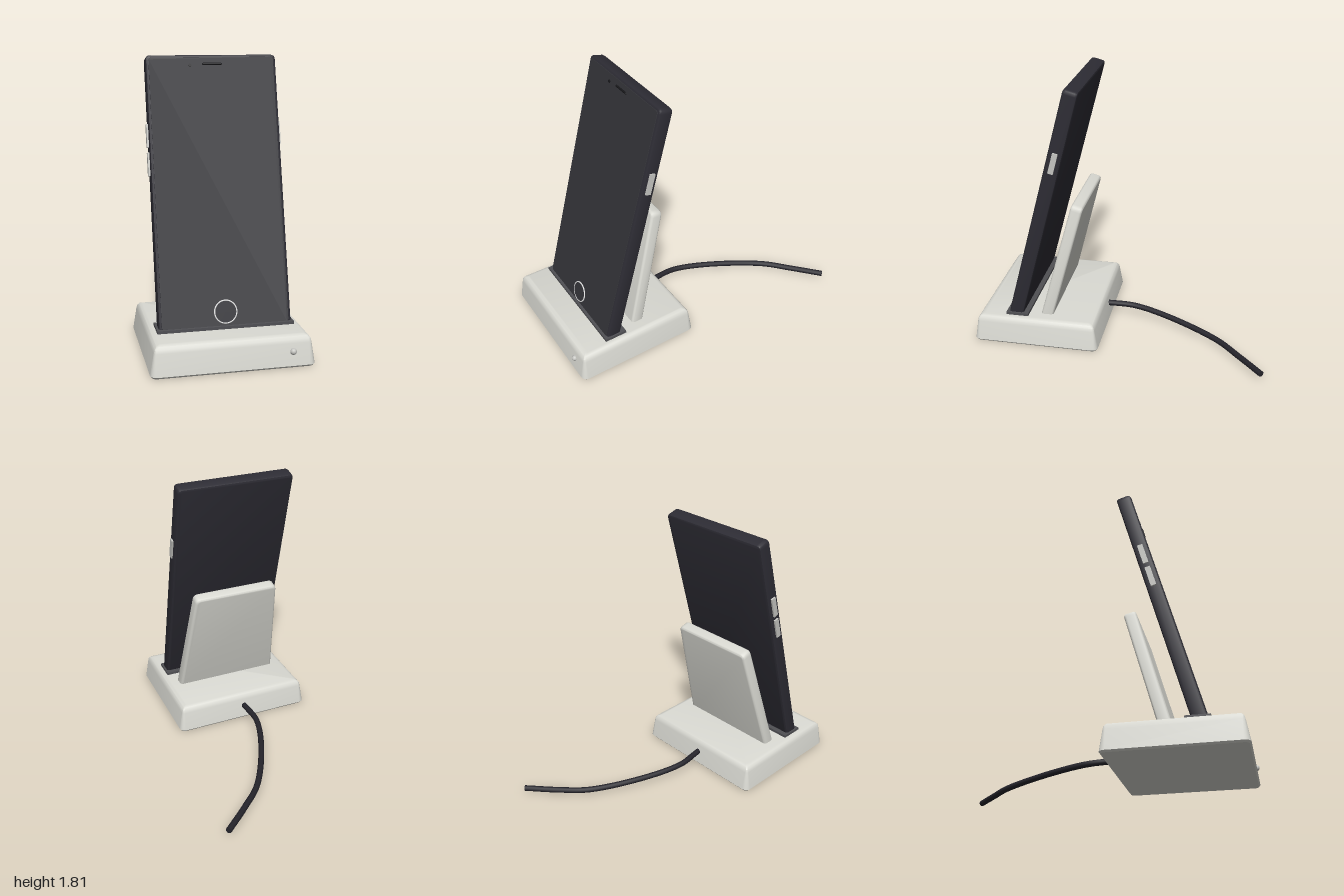
import * as THREE from 'three';
import { toCreasedNormals } from 'three/addons/utils/BufferGeometryUtils.js';

const CENTER_X = -0.057;
const TILT = -Math.PI / 12;

function material(name, color) {
  const m = new THREE.MeshStandardMaterial({ color });
  m.name = name;
  return m;
}

function add(parent, name, geometry, mat, x = 0, y = 0, z = 0) {
  const mesh = new THREE.Mesh(geometry, mat);
  mesh.name = name;
  mesh.position.set(x, y, z);
  parent.add(mesh);
  return mesh;
}

// Four-sided outline with rounded corners; y runs from y0 to y1, widths may differ
function roundedShape(bottomWidth, topWidth, y0, y1, r) {
  const b = bottomWidth / 2, t = topWidth / 2;
  const corners = [[-b, y0], [b, y0], [t, y1], [-t, y1]].map(p => new THREE.Vector2(...p));
  const shape = new THREE.Shape();
  corners.forEach((c, i) => {
    const toward = p => c.clone().add(p.clone().sub(c).setLength(r));
    const start = toward(corners[(i + 3) % 4]);
    const end = toward(corners[(i + 1) % 4]);
    if (i === 0) shape.moveTo(start.x, start.y);
    else shape.lineTo(start.x, start.y);
    shape.quadraticCurveTo(c.x, c.y, end.x, end.y);
  });
  shape.closePath();
  return shape;
}

// Bevelled slab centred on z = 0
function slab(shape, thickness, bevel, segments) {
  const geometry = new THREE.ExtrudeGeometry(shape, {
    depth: thickness - 2 * bevel, bevelThickness: bevel, bevelSize: bevel,
    bevelOffset: -bevel, bevelSegments: segments, curveSegments: 4,
  });
  geometry.translate(0, 0, bevel - thickness / 2);
  return toCreasedNormals(geometry, 0.6);
}

// Stack of rounded rectangles [y, inset], closed at both ends
function loftedBlock(width, depth, radius, sections) {
  const positions = [], indices = [], perCorner = 6, n = perCorner * 4;
  for (const [y, inset] of sections) {
    const cx = width / 2 - radius, cz = depth / 2 - radius;
    const r = Math.max(radius - inset, 0.012);
    const shrink = inset - (radius - r);
    for (let c = 0; c < 4; c++) {
      const sx = c === 0 || c === 3 ? 1 : -1, sz = c < 2 ? 1 : -1;
      for (let k = 0; k < perCorner; k++) {
        const a = (c + k / (perCorner - 1)) * Math.PI / 2;
        positions.push(sx * (cx - shrink) + r * Math.cos(a), y, sz * (cz - shrink) + r * Math.sin(a));
      }
    }
  }
  for (let s = 0; s < sections.length - 1; s++) {
    for (let i = 0; i < n; i++) {
      const a = s * n + i, b = s * n + (i + 1) % n;
      indices.push(a, a + n, b, b, a + n, b + n);
    }
  }
  const top = (sections.length - 1) * n;
  for (let i = 1; i < n - 1; i++) {
    indices.push(0, i, i + 1, top, top + i + 1, top + i);
  }
  const geometry = new THREE.BufferGeometry();
  geometry.setAttribute('position', new THREE.Float32BufferAttribute(positions, 3));
  geometry.setIndex(indices);
  return toCreasedNormals(geometry, 0.6);
}

export function createModel() {
  const model = new THREE.Group();
  model.name = 'phoneOnDock';

  const shell = material('dock off-white', 0xdadad3);
  const body = material('phone charcoal', 0x2d2c34);
  const glass = material('screen dark grey', 0x35353a);
  const black = material('sensor black', 0x17171a);
  const tray = material('slot grey', 0x505054);
  const metal = material('button silver', 0xc6c6c2);
  const ringWhite = material('ring pale grey', 0xe4e4e4);
  const rubber = material('cable black', 0x25242b);

  // Dock base with sloping sides and a soft upper edge
  add(model, 'dockBase', loftedBlock(0.995, 0.87, 0.04, [
    [0, 0.01], [0.012, 0], [0.145, 0.022], [0.168, 0.028], [0.183, 0.04], [0.19, 0.06],
  ]), shell, CENTER_X, 0, 0.558);

  // Status light on the front
  add(model, 'statusLight', new THREE.SphereGeometry(0.02, 20, 14), metal, 0.3, 0.098, 0.98);

  // Slot lining in which the phone stands
  add(model, 'slotLining', new THREE.BoxGeometry(0.85, 0.03, 0.155), tray, CENTER_X, 0.193, 0.698);

  // Tapered back support
  const support = add(model, 'backSupport',
    slab(roundedShape(0.755, 0.61, -0.04, 0.825, 0.035), 0.082, 0.018, 4),
    shell, CENTER_X, 0.19, 0.498);
  support.rotation.x = TILT;

  // Phone, leaning back
  const phone = new THREE.Group();
  phone.name = 'phone';
  phone.position.set(CENTER_X, 0.2, 0.707);
  phone.rotation.x = TILT;
  model.add(phone);
  const face = 0.048;

  add(phone, 'phoneBody', slab(roundedShape(0.825, 0.825, -0.03, 1.662, 0.03), face * 2, 0.016, 2), body);
  add(phone, 'screen', slab(roundedShape(0.79, 0.79, -0.01, 1.645, 0.02), 0.008, 0.001, 1),
    glass, 0, 0, face - 0.001);

  // Home button and its bright rim
  const home = add(phone, 'homeButton', new THREE.CylinderGeometry(0.068, 0.068, 0.009, 40),
    glass, 0, 0.077, face + 0.005);
  home.rotation.x = Math.PI / 2;
  add(phone, 'homeButtonRim', new THREE.TorusGeometry(0.069, 0.0045, 8, 48),
    ringWhite, 0, 0.077, face + 0.007);

  // Earpiece and sensor
  const earpiece = add(phone, 'earpiece', new THREE.CapsuleGeometry(0.008, 0.11, 4, 12),
    black, 0, 1.602, face + 0.002);
  earpiece.rotation.z = Math.PI / 2;
  const sensor = add(phone, 'frontSensor', new THREE.CylinderGeometry(0.01, 0.01, 0.008, 16),
    black, -0.14, 1.594, face + 0.003);
  sensor.rotation.x = Math.PI / 2;

  // Side buttons: two on the right, one on the left
  for (const [name, x, y] of [
    ['volumeUpButton', -0.413, 1.17],
    ['volumeDownButton', -0.413, 0.995],
    ['powerButton', 0.413, 1.17],
  ]) {
    add(phone, name, new THREE.BoxGeometry(0.022, 0.143, 0.036), metal, x, y, 0);
  }

  // Cable trailing from the back
  const path = new THREE.CatmullRomCurve3([
    [-0.06, 0.097, 0.16], [-0.066, 0.095, 0.1], [-0.075, 0.085, -0.05], [0.005, 0.067, -0.31],
    [0.2, 0.043, -0.67], [0.36, 0.038, -0.83], [0.535, 0.04, -0.985],
  ].map(p => new THREE.Vector3(...p)));
  add(model, 'cable', new THREE.TubeGeometry(path, 48, 0.02, 12), rubber);
  const cap = add(model, 'cableEnd', new THREE.CircleGeometry(0.02, 12), rubber, 0.535, 0.04, -0.985);
  cap.lookAt(path.getPoint(1).add(path.getTangent(1)));

  return model;
}
